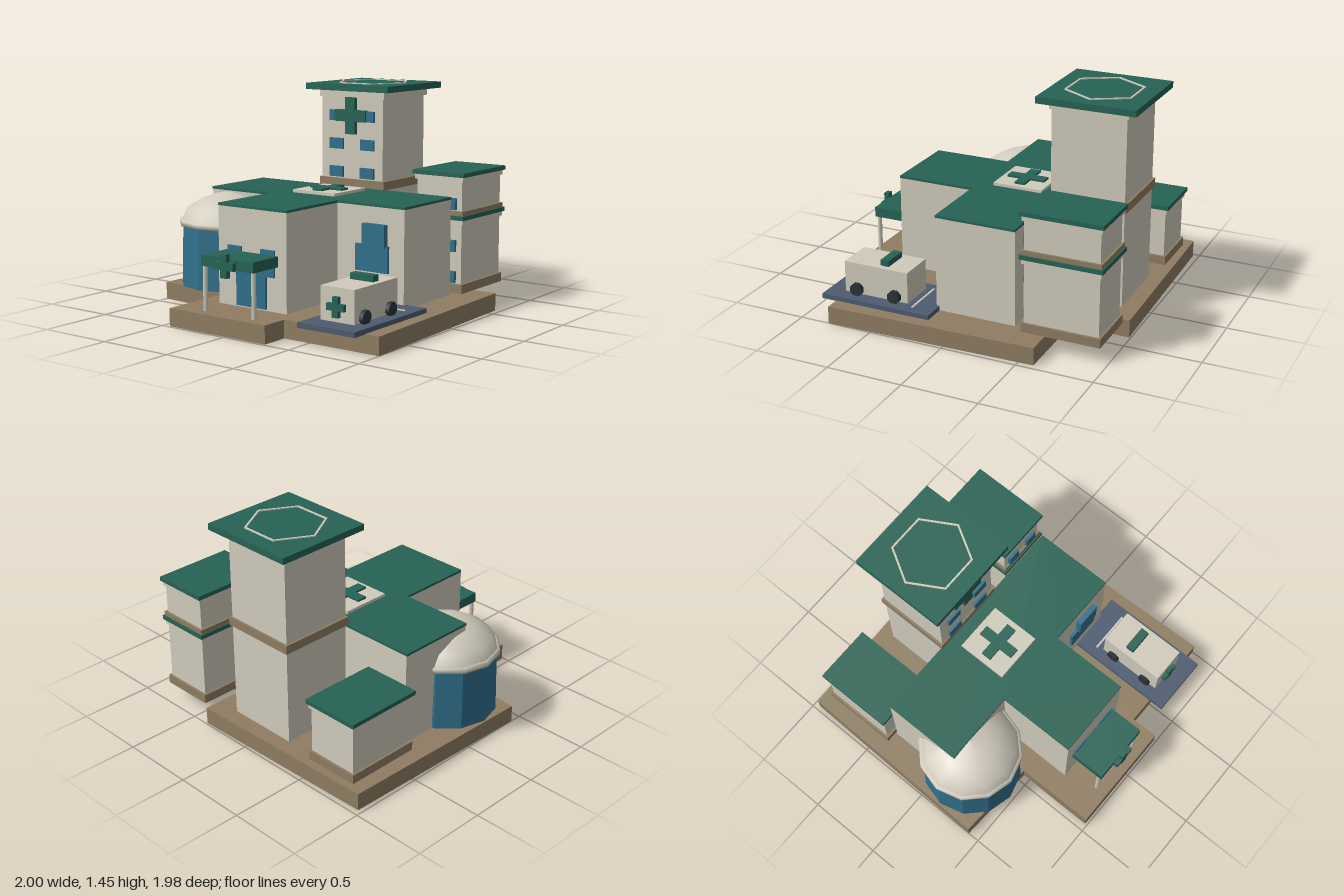
import * as THREE from 'three';

const mat = (color) => new THREE.MeshStandardMaterial({ color });
const CREAM = mat(0xd0cbbc), GREEN = mat(0x266354), BLUE = mat(0x30708c);
const BROWN = mat(0x8f7d62), SLATE = mat(0x4d5b70), DARK = mat(0x2b3238);
const FLAT_BLUE = new THREE.MeshStandardMaterial({ color: 0x30708c, flatShading: true });

function add(parent, name, geometry, material) {
  const mesh = new THREE.Mesh(geometry, material);
  mesh.name = name;
  parent.add(mesh);
  return mesh;
}

// Box given by its limits on each axis
function box(parent, name, material, x0, x1, y0, y1, z0, z1) {
  const mesh = add(parent, name, new THREE.BoxGeometry(x1 - x0, y1 - y0, z1 - z0), material);
  mesh.position.set((x0 + x1) / 2, (y0 + y1) / 2, (z0 + z1) / 2);
  return mesh;
}

// Horizontal slab from an outline of [x, z] points
function slab(parent, name, material, points, y0, y1) {
  const shape = new THREE.Shape(points.map(([x, z]) => new THREE.Vector2(x, -z)));
  const geometry = new THREE.ExtrudeGeometry(shape, { depth: y1 - y0, bevelEnabled: false });
  geometry.rotateX(-Math.PI / 2).translate(0, y0, 0);
  return add(parent, name, geometry, material);
}

// Plus sign facing +z, with its back at the given point
function cross(parent, name, x, y, z, size, arm, depth) {
  const s = size / 2, a = arm / 2;
  const pts = [[-a, -s], [a, -s], [a, -a], [s, -a], [s, a], [a, a],
    [a, s], [-a, s], [-a, a], [-s, a], [-s, -a], [-a, -a]];
  const shape = new THREE.Shape(pts.map((p) => new THREE.Vector2(...p)));
  const mesh = add(parent, name, new THREE.ExtrudeGeometry(shape, { depth, bevelEnabled: false }), GREEN);
  mesh.position.set(x, y, z);
  return mesh;
}

// One storey: plinth, walls, cornice and roof slab
function storey(parent, x0, x1, z0, z1, y0, y1, plinth) {
  const grown = (name, m, e, a, b) => box(parent, name, m, x0 - e, x1 + e, a, b, z0 - e, z1 + e);
  grown('plinth', BROWN, 0.015, y0, y0 + plinth);
  grown('walls', CREAM, 0, y0 + plinth, y1 - 0.06);
  grown('cornice', CREAM, 0.012, y1 - 0.06, y1 - 0.028);
  grown('roof', GREEN, 0.025, y1 - 0.028, y1);
}

function group(parent, name) {
  const g = new THREE.Group();
  g.name = name;
  parent.add(g);
  return g;
}

export function createModel() {
  const model = new THREE.Group();
  model.name = 'hospital';

  slab(model, 'groundSlab', BROWN, [[-0.97, -0.96], [0.38, -0.99], [0.38, -0.6], [0.96, -0.6],
    [1, 0.8], [0.31, 0.8], [0.31, 0.985], [-0.45, 0.985], [-0.45, 0.45], [-1, 0.42]], 0, 0.115);

  // T-shaped main block
  const main = group(model, 'mainBlock');
  const plan = [[-0.8, -0.38], [0.745, -0.38], [0.745, 0.16], [0.24, 0.16],
    [0.24, 0.685], [-0.3, 0.685], [-0.3, 0.16], [-0.8, 0.16]];
  slab(main, 'mainWalls', CREAM, plan, 0.115, 0.74);
  slab(main, 'mainRoof', GREEN, plan.map(([x, z]) => [x * 1.006, z]), 0.74, 0.756);
  box(main, 'roofPad', CREAM, -0.2, 0.14, 0.756, 0.775, -0.285, 0.055);
  cross(main, 'roofCross', -0.03, 0.775, -0.112, 0.26, 0.07, 0.014).rotation.x = -Math.PI / 2;
  box(main, 'sideWindowLower', BLUE, 0.39, 0.635, 0.33, 0.5, 0.16, 0.18);
  box(main, 'sideWindowUpper', BLUE, 0.45, 0.62, 0.49, 0.635, 0.16, 0.197);

  // Entrance with canopy
  const entrance = group(model, 'entrance');
  box(entrance, 'door', BLUE, -0.15, 0.085, 0.125, 0.355, 0.68, 0.697);
  for (const x of [-0.165, 0.095]) {
    box(entrance, 'entranceWindow', BLUE, x - 0.055, x + 0.055, 0.33, 0.5, 0.68, 0.695);
  }
  box(entrance, 'canopy', GREEN, -0.237, 0.173, 0.4, 0.467, 0.68, 0.925);
  for (const x of [-0.225, 0.158]) {
    const post = add(entrance, 'canopyPost', new THREE.CylinderGeometry(0.015, 0.015, 0.285, 8), CREAM);
    post.position.set(x, 0.2575, 0.9);
  }
  cross(entrance, 'canopyCross', -0.032, 0.425, 0.925, 0.15, 0.05, 0.032);

  // Tower with landing roof
  const tower = group(model, 'tower');
  box(tower, 'towerWalls', CREAM, -0.28, 0.215, 0.115, 1.36, -0.875, -0.38);
  box(tower, 'towerBand', BROWN, -0.295, 0.23, 0.752, 0.81, -0.89, -0.37);
  box(tower, 'towerCornice', CREAM, -0.295, 0.23, 1.358, 1.4, -0.89, -0.37);
  box(tower, 'landingRoof', GREEN, -0.365, 0.3, 1.405, 1.447, -0.96, -0.305);
  box(tower, 'landingRoofBase', GREEN, -0.28, 0.215, 1.395, 1.41, -0.875, -0.385);
  for (const y of [0.855, 1.045, 1.235]) {
    for (const x of [-0.155, 0.095]) {
      box(tower, 'towerWindow', BLUE, x - 0.055, x + 0.055, y - 0.036, y + 0.036, -0.39, -0.365);
    }
  }
  cross(tower, 'towerCross', -0.033, 1.237, -0.38, 0.247, 0.078, 0.03);
  const hexagon = (r) => Array.from({ length: 6 }, (_, i) =>
    new THREE.Vector2(r * Math.cos(i * Math.PI / 3), r * Math.sin(i * Math.PI / 3)));
  const ringShape = new THREE.Shape(hexagon(0.255));
  ringShape.holes.push(new THREE.Path(hexagon(0.241)));
  const ring = add(tower, 'landingRing',
    new THREE.ExtrudeGeometry(ringShape, { depth: 0.007, bevelEnabled: false }), CREAM);
  ring.rotation.x = -Math.PI / 2;
  ring.position.set(-0.033, 1.447, -0.632);

  // Two-storey and single-storey annexes
  const leftAnnex = group(model, 'leftAnnex');
  storey(leftAnnex, 0.443, 0.783, -0.945, -0.455, 0.115, 0.625, 0.06);
  storey(leftAnnex, 0.443, 0.783, -0.945, -0.455, 0.625, 0.905, 0.03);
  for (const y of [0.22, 0.425, 0.7]) {
    for (const x of [0.525, 0.7]) {
      box(leftAnnex, 'annexWindow', BLUE, x - 0.045, x + 0.045, y - 0.038, y + 0.038, -0.46, -0.435);
    }
  }
  const rightAnnex = group(model, 'rightAnnex');
  storey(rightAnnex, -0.863, -0.513, -0.897, -0.412, 0.115, 0.54, 0.06);

  // Round hall with a shallow faceted dome
  const hall = group(model, 'domedHall');
  hall.position.set(-0.65, 0, 0.16);
  add(hall, 'hallWall', new THREE.CylinderGeometry(0.322, 0.333, 0.41, 12), FLAT_BLUE).position.y = 0.32;
  const profile = [[0, 0.52], [0.343, 0.52], [0.343, 0.552], [0.325, 0.555], [0.288, 0.628],
    [0.19, 0.69], [0.1, 0.72], [0, 0.735]].map((p) => new THREE.Vector2(...p));
  add(hall, 'domeRim', new THREE.LatheGeometry(profile.slice(0, 4), 12), CREAM);
  add(hall, 'dome', new THREE.LatheGeometry(profile.slice(3), 12), CREAM);

  // Parking bay and ambulance
  const bay = group(model, 'parkingBay');
  box(bay, 'bayFloor', SLATE, 0.487, 0.9, 0.112, 0.145, 0.14, 0.902);
  box(bay, 'bayLine', CREAM, 0.55, 0.84, 0.145, 0.151, 0.277, 0.29);
  const ambulance = group(bay, 'ambulance');
  box(ambulance, 'vanBody', CREAM, 0.568, 0.812, 0.15, 0.358, 0.33, 0.78);
  box(ambulance, 'lightBar', GREEN, 0.607, 0.775, 0.358, 0.397, 0.48, 0.538);
  cross(ambulance, 'vanCross', 0.691, 0.243, 0.78, 0.125, 0.042, 0.028);
  for (const z of [0.42, 0.69]) {
    for (const x of [0.565, 0.82]) {
      const wheel = add(ambulance, 'wheel', new THREE.CylinderGeometry(0.045, 0.045, 0.04, 8), DARK);
      wheel.rotation.set(Math.PI / 8, 0, Math.PI / 2);
      wheel.position.set(x, 0.183, z);
    }
  }

  return model;
}
